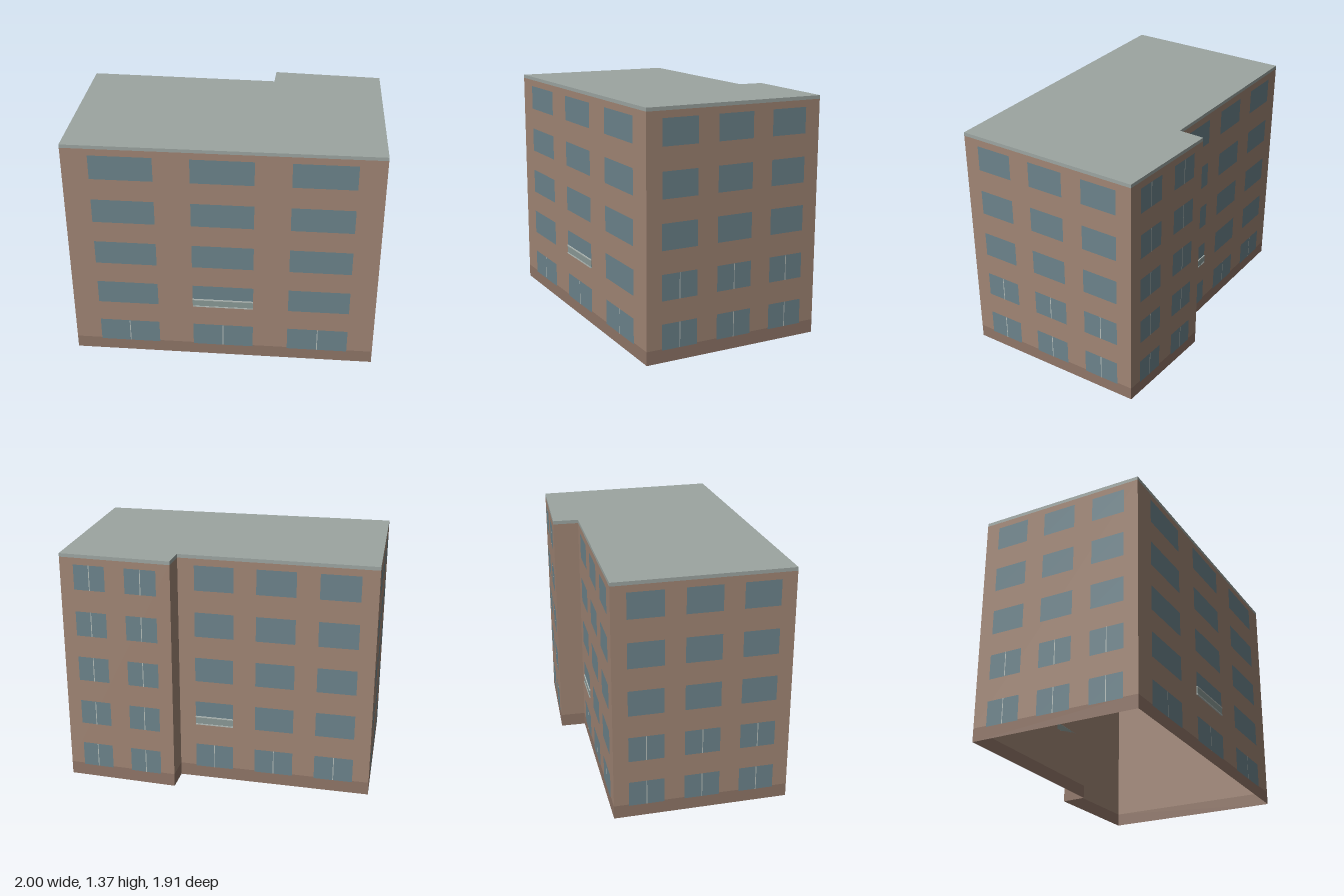
import * as THREE from 'three';

const mat = (color, side = THREE.FrontSide) => new THREE.MeshStandardMaterial({ color, side });
const wallMat = mat(0xa08574, THREE.DoubleSide);
const baseMat = mat(0x8f7567, THREE.DoubleSide);
const roofMat = mat(0x9ca5a1, THREE.DoubleSide);
const glassMat = mat(0x6c838b);
const frameMat = mat(0xb4bdb9);
const panelMat = mat(0x8a9996);

const HEIGHT = 1.366, FLOORS = 5, FLOOR = HEIGHT / FLOORS;
const BASE_TOP = 0.077, TRIM_BOTTOM = 1.346;
const SILL = 0.07, WINDOW_H = 0.145;

// Footprint corners [x, z], going round so every wall faces outwards
const corners = [[-1, 0.17], [-0.4, 0.955], [1, -0.115], [0.345, -0.955], [-0.185, -0.6], [-0.1, -0.48]];

// Per wall: window spans along the wall, floors with a mullion, column of the balcony
const three = [[0.085, 0.285], [0.4, 0.6], [0.715, 0.915]];
const two = [[0.126, 0.41], [0.59, 0.874]];
const facades = [
  { name: 'leftWall', spans: three, mullions: 2 },
  { name: 'frontWall', spans: three, mullions: 1, balcony: 1 },
  { name: 'rightWall', spans: three, mullions: 2 },
  { name: 'backWingWall', spans: two, mullions: 5 },
  { name: 'stepWall', spans: [], mullions: 0 },
  { name: 'backWall', spans: three, mullions: 1, balcony: 0 },
];

// Upright rectangle in a wall's own plane
function panel(name, x0, x1, y0, y1, z, material) {
  const mesh = new THREE.Mesh(new THREE.PlaneGeometry(x1 - x0, y1 - y0), material);
  mesh.position.set((x0 + x1) / 2, (y0 + y1) / 2, z);
  mesh.name = name;
  return mesh;
}

function bar(name, x0, x1, y0, y1, depth, material) {
  const mesh = new THREE.Mesh(new THREE.BoxGeometry(x1 - x0, y1 - y0, depth), material);
  mesh.position.set((x0 + x1) / 2, (y0 + y1) / 2, depth / 2);
  mesh.name = name;
  return mesh;
}

// Shallow balcony railing: panel between a floor slab and a handrail
function createBalcony(x0, x1, y) {
  const balcony = new THREE.Group();
  balcony.name = 'balcony';
  balcony.add(
    bar('balconySlab', x0, x1, y, y + 0.007, 0.007, frameMat),
    bar('balconyPanel', x0, x1, y + 0.007, y + 0.046, 0.005, panelMat),
    bar('balconyRail', x0, x1, y + 0.046, y + 0.053, 0.007, frameMat),
  );
  return balcony;
}

function createWall([ax, az], [bx, bz], { name, spans, mullions, balcony }) {
  const wall = new THREE.Group();
  const length = Math.hypot(bx - ax, bz - az);
  wall.name = name;
  wall.position.set(ax, 0, az);
  wall.rotation.y = Math.atan2(az - bz, bx - ax);
  wall.add(
    panel('basePlinth', 0, length, 0, BASE_TOP, 0, baseMat),
    panel('brickwork', 0, length, BASE_TOP, TRIM_BOTTOM, 0, wallMat),
    panel('roofTrim', 0, length, TRIM_BOTTOM, HEIGHT, 0, roofMat),
  );
  spans.forEach(([from, to], column) => {
    const x0 = from * length, x1 = to * length, mid = (x0 + x1) / 2;
    for (let floor = 0; floor < FLOORS; floor++) {
      const y = SILL + floor * FLOOR;
      wall.add(panel('window', x0, x1, y, y + WINDOW_H, 0.002, glassMat));
      if (floor < mullions) {
        wall.add(panel('mullion', mid - 0.0025, mid + 0.0025, y, y + WINDOW_H, 0.003, frameMat));
      }
    }
    if (column === balcony) wall.add(createBalcony(x0, x1, SILL + FLOOR));
  });
  return wall;
}

export function createModel() {
  const building = new THREE.Group();
  building.name = 'apartmentBlock';

  // Walls, open underneath
  corners.forEach((corner, i) => {
    building.add(createWall(corner, corners[(i + 1) % corners.length], facades[i]));
  });

  // Flat roof
  const outline = new THREE.Shape(corners.map(([x, z]) => new THREE.Vector2(x, -z)));
  const roof = new THREE.Mesh(new THREE.ShapeGeometry(outline).rotateX(-Math.PI / 2), roofMat);
  roof.position.y = HEIGHT;
  roof.name = 'roof';
  building.add(roof);

  return building;
}
